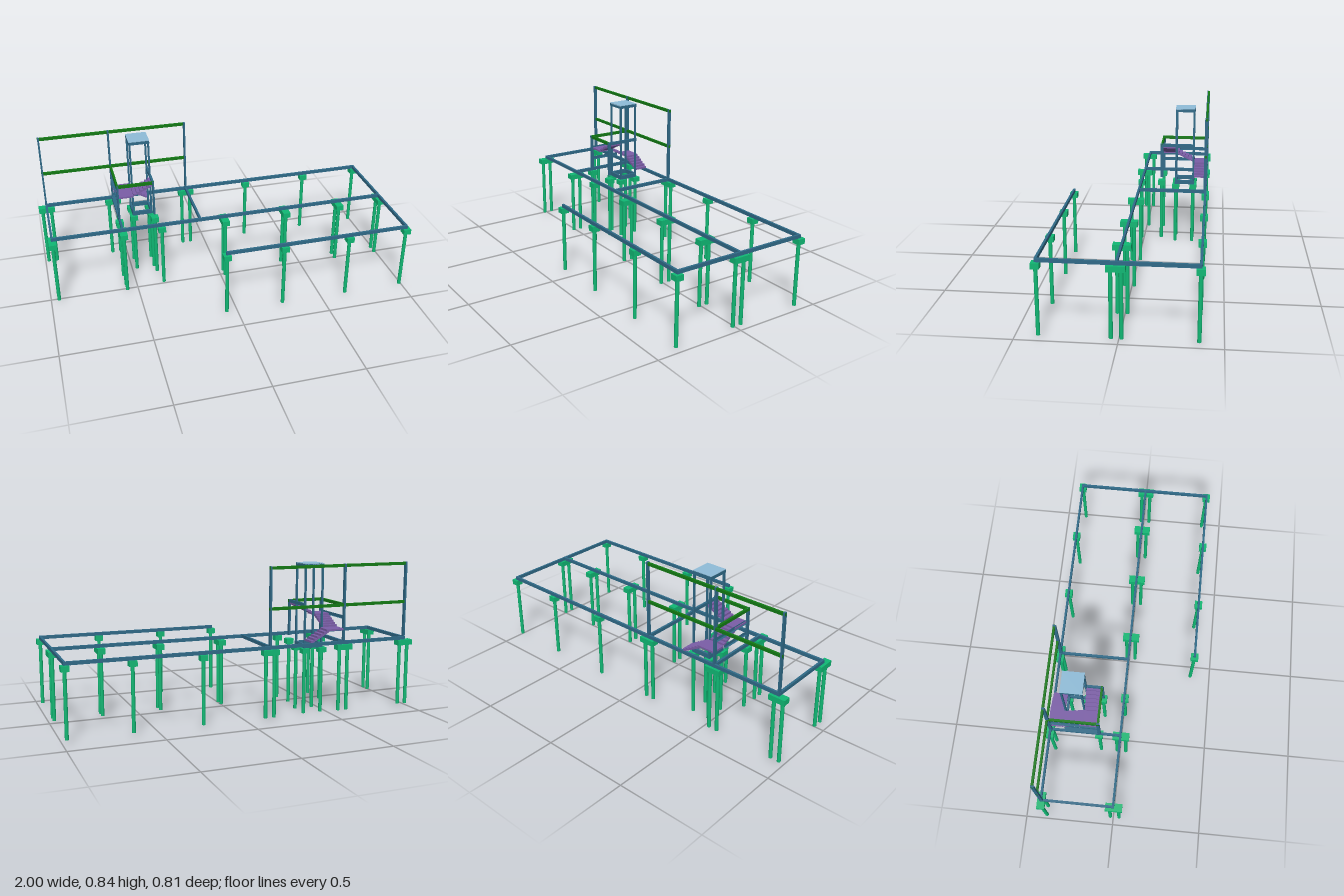
import * as THREE from 'three';

const mat = (color) => new THREE.MeshStandardMaterial({ color });
const steel = mat(0x2f6a88), green = mat(0x127a14), pileMat = mat(0x10b874);
const stairMat = mat(0x7b5ea7), roofMat = mat(0x8fbcd8);

export function createModel() {
  const root = new THREE.Group();

  const group = (name) => {
    const g = new THREE.Group();
    g.name = name;
    root.add(g);
    return g;
  };

  // box given by its min and max corners
  const box = (parent, name, [x0, y0, z0], [x1, y1, z1], material = steel) => {
    const m = new THREE.Mesh(new THREE.BoxGeometry(x1 - x0, y1 - y0, z1 - z0), material);
    m.position.set((x0 + x1) / 2, (y0 + y1) / 2, (z0 + z1) / 2);
    m.name = name;
    parent.add(m);
  };
  const W = 0.006; // half width of a beam
  const beamX = (p, name, x0, x1, z, y0, y1, m) => box(p, name, [x0 - W, y0, z - W], [x1 + W, y1, z + W], m);
  const beamZ = (p, name, x, z0, z1, y0, y1, m) => box(p, name, [x - W, y0, z0 - W], [x + W, y1, z1 + W], m);
  const column = (p, name, x, z, y0, y1, hx = 0.005, hz = 0.009) =>
    box(p, name, [x - hx, y0, z - hz], [x + hx, y1, z + hz]);

  // pile cap carrying one pile, or two spread along an axis
  const foundations = group('foundations');
  const pileCap = (x, z, axis = '', bottom = 0.02, capY = 0.365, capTop = 0.395) => {
    const dx = axis === 'x' ? 0.025 : 0, dz = axis === 'z' ? 0.025 : 0;
    const hx = 0.021 + dx, hz = 0.021 + dz;
    box(foundations, 'pileCap', [x - hx, capY, z - hz], [x + hx, capTop, z + hz], pileMat);
    for (const s of axis ? [-1, 1] : [0]) {
      const pile = new THREE.Mesh(new THREE.CylinderGeometry(0.01, 0.01, capY - bottom, 16), pileMat);
      pile.position.set(x + s * dx, (capY + bottom) / 2, z + s * dz);
      pile.name = 'pile';
      foundations.add(pile);
    }
  };
  const L = -0.955, S = -0.565, M = -0.12, R = 0.977; // main grid lines in x
  const B = -0.382, C = 0.006, F = 0.382;             // main grid lines in z
  for (const x of [L, S, 0.02, 0.385, 0.715, R]) pileCap(x, C + 0.003, 'z');
  for (const x of [L, S, M]) pileCap(x, B, 'x');
  for (const x of [0.26, 0.637, R]) pileCap(x, B);
  for (const x of [-0.065, 0.26, 0.637, R]) pileCap(x, F);
  pileCap(-0.345, C + 0.003);
  for (const x of [S, -0.362]) pileCap(x, -0.111);
  for (const x of [-0.47, -0.365])
    for (const z of [-0.197, -0.302]) pileCap(x, z, '', 0, 0.343, 0.371);

  // ground floor beams
  const floor = group('floorBeams');
  const y0 = 0.395, y1 = 0.414;
  beamX(floor, 'backBeam', L, R, B, y0, y1);
  beamX(floor, 'middleBeam', L, R, C, y0, y1);
  beamX(floor, 'frontBeam', -0.065, R, F, y0, y1);
  beamZ(floor, 'rightEndBeam', L, B, C, y0, y1);
  beamZ(floor, 'stairBeam', S, B, C, y0, y1);
  beamZ(floor, 'crossBeam', M, B, C, y0, y1);
  beamZ(floor, 'leftEndBeam', R, B, F, y0, y1);

  // tall rear frame
  const rear = group('rearFrame');
  for (const x of [L, S, M]) column(rear, 'rearColumn', x, -0.379, y0, 0.839);
  for (const y of [0.605, 0.822]) beamX(rear, 'rearBeam', L, M, -0.381, y, y + 0.016, green);

  // frame around the stairs
  const frame = group('stairFrame');
  const E = -0.363;
  for (const x of [S, E]) column(frame, 'stairColumn', x, -0.111, y1, 0.622);
  beamZ(frame, 'lowerSideBeam', S, -0.111, -0.302, 0.466, 0.483);
  beamZ(frame, 'upperSideBeam', S, -0.111, -0.378, 0.535, 0.552);
  beamZ(frame, 'topSideBeam', S, -0.378, -0.111, 0.605, 0.622, green);
  beamZ(frame, 'topInnerBeam', E, -0.302, -0.111, 0.605, 0.622);
  beamX(frame, 'topFrontBeam', S, E, -0.111, 0.605, 0.622, green);

  // lift shaft
  const lift = group('liftShaft');
  const xa = -0.47, xb = -0.365, za = -0.302, zb = -0.197;
  for (const x of [xa, xb]) for (const z of [za, zb]) column(lift, 'liftPost', x, z, 0.371, 0.839, 0.005, 0.005);
  for (const [a, b] of [[0.371, 0.395], [0.82, 0.837]]) {
    for (const z of [za, zb]) beamX(lift, 'liftRing', xa, xb, z, a, b);
    for (const x of [xa, xb]) beamZ(lift, 'liftRing', x, za, zb, a, b);
  }
  box(lift, 'liftRoof', [-0.476, 0.834, -0.308], [-0.359, 0.84, -0.191], roofMat);

  // stair flight: sawtooth top over a sloping underside, local +x is uphill
  const stairs = group('stairs');
  const flight = (run, rise, width, pos, turn) => {
    const n = 6, t = 0.012, shape = new THREE.Shape();
    shape.moveTo(0, 0);
    for (let i = 0; i < n; i++) {
      shape.lineTo((run * i) / n, (rise * (i + 1)) / n);
      shape.lineTo((run * (i + 1)) / n, (rise * (i + 1)) / n);
    }
    shape.lineTo(run, rise - t);
    shape.lineTo(t, 0);
    const geo = new THREE.ExtrudeGeometry(shape, { depth: width, bevelEnabled: false });
    geo.translate(0, 0, -width / 2);
    const m = new THREE.Mesh(geo, stairMat);
    m.position.set(...pos);
    m.rotation.y = turn;
    m.name = 'flight';
    stairs.add(m);
  };
  flight(0.115, 0.069, 0.08, [-0.362, 0.414, -0.346], Math.PI);
  flight(0.112, 0.062, 0.086, [-0.52, 0.483, -0.306], -Math.PI / 2);
  flight(0.115, 0.062, 0.08, [-0.477, 0.545, -0.154], 0);
  box(stairs, 'lowerLanding', [-0.563, 0.473, -0.386], [-0.477, 0.483, -0.306], stairMat);
  box(stairs, 'upperLanding', [-0.563, 0.535, -0.194], [-0.477, 0.545, -0.114], stairMat);

  return root;
}
